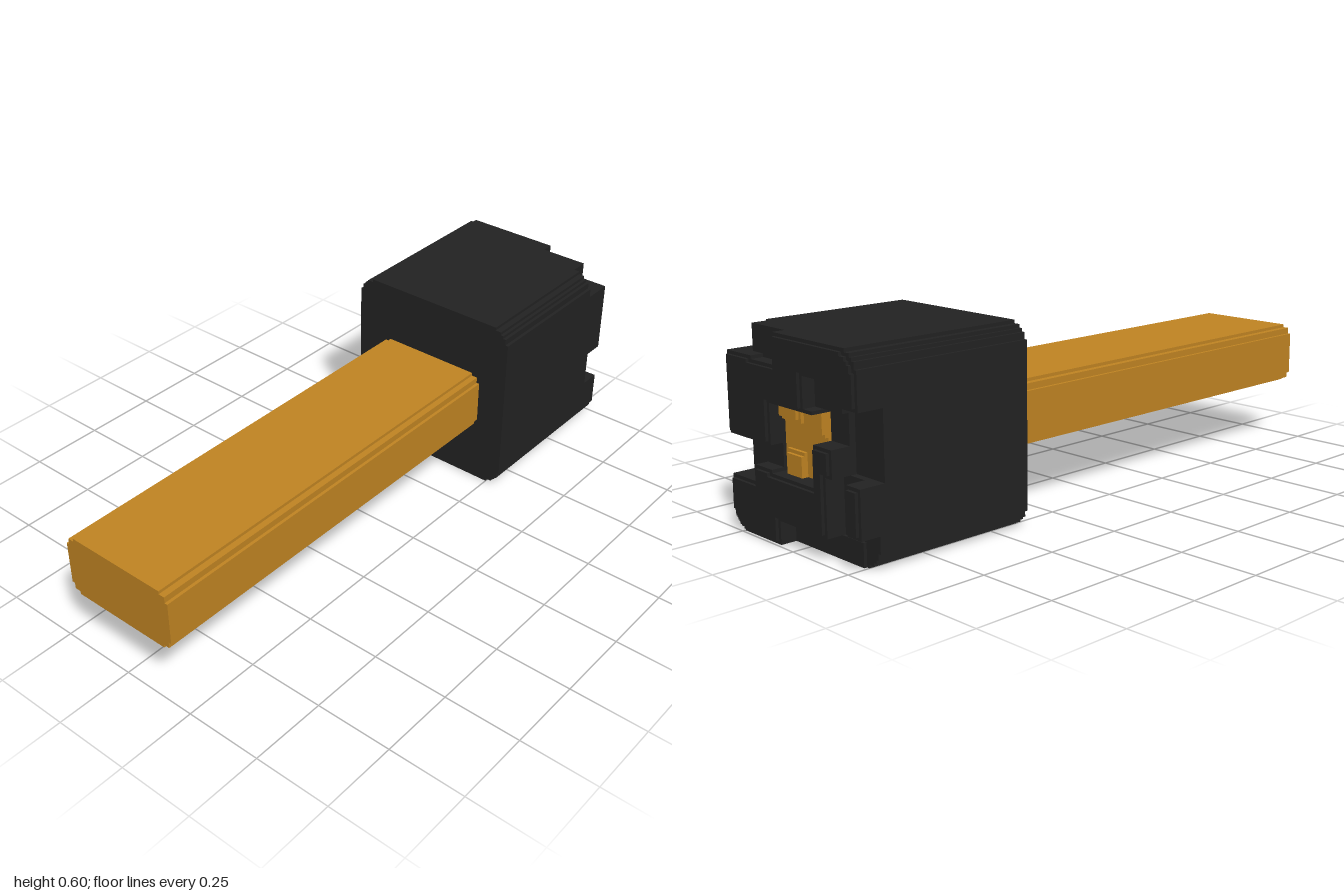
import * as THREE from 'three';

const iron = new THREE.MeshStandardMaterial({ color: 0x222222 });
iron.name = 'black iron';
const wood = new THREE.MeshStandardMaterial({ color: 0xbf8322 });
wood.name = 'golden wood';

// Stepped roundings as nested rectangles: [half depth, half height], in hundredths
const HEAD_STEPS = [[30, 25], [29, 27], [28, 28], [27, 29], [25, 30]];
const HANDLE_STEPS = [[20, 7], [19, 9], [17, 10]];

// Recesses in the striking face: [z0, z1, y0, y1, floor x], in hundredths
const RECESSES = [
  [23, 31, 52, 61, 89], [18, 24, 52, 61, 95], [7, 18, 51, 61, 95],      // upper front corner
  [18, 31, 16, 28, 92], [9, 20, 21, 28, 95],                            // front channel
  [-18, -6, 41, 50, 95], [-18, -10, 32, 41, 93],                        // upper rear pocket
  [-31, -18, 24, 44, 91],                                               // rear notch
  [-24, -15, 7, 24, 93], [-31, -24, -1, 10, 93], [-24, 7, -1, 7, 94],   // lower rear channel
  [-10, 10, 20, 40, 90],                                                // socket of the core
];

function faceHeight(z, y) {
  const inside = (inset) => HEAD_STEPS.some(([hz, hy]) =>
    Math.abs(z) < hz - inset && Math.abs(y - 30) < hy - inset);
  if (!inside(0)) return 40;
  let h = inside(1) ? 100 : 99;
  for (const [z0, z1, y0, y1, floor] of RECESSES) {
    if (z > z0 && z < z1 && y > y0 && y < y1) h = Math.min(h, floor);
    else if (z > z0 - 1 && z < z1 + 1 && y > y0 - 1 && y < y1 + 1) h = Math.min(h, 99); // stepped rim
  }
  return h;
}

// Grid lines wherever a step or recess edge falls
function gridLines(values, min, max) {
  return [...new Set(values)].filter((v) => v >= min && v <= max).sort((a, b) => a - b);
}

function headGeometry() {
  const zs = [], ys = [];
  for (const [hz, hy] of HEAD_STEPS) {
    zs.push(-hz, 1 - hz, hz - 1, hz);
    ys.push(30 - hy, 31 - hy, 29 + hy, 30 + hy);
  }
  for (const [z0, z1, y0, y1] of RECESSES) {
    zs.push(z0 - 1, z0, z1, z1 + 1);
    ys.push(y0 - 1, y0, y1, y1 + 1);
  }
  const Z = gridLines(zs, -30, 30), Y = gridLines(ys, 0, 60);
  const height = (i, j) => (i < 0 || j < 0 || i >= Z.length - 1 || j >= Y.length - 1)
    ? 40 : faceHeight((Z[i] + Z[i + 1]) / 2, (Y[j] + Y[j + 1]) / 2);

  const pos = [];
  const quad = (a, b, c, d, flip) => {
    const order = flip ? [a, c, b, a, d, c] : [a, b, c, a, c, d];
    for (const p of order) pos.push(p[0] / 100, p[1] / 100, p[2] / 100);
  };

  for (let i = 0; i < Z.length; i++) {
    for (let j = 0; j < Y.length; j++) {
      const h = height(i, j), z0 = Z[i], z1 = Z[i + 1], y0 = Y[j], y1 = Y[j + 1];
      // striking face and rear cap
      if (h > 40) {
        for (const [x, flip] of [[h, false], [40, true]]) {
          quad([x, y0, z0], [x, y1, z0], [x, y1, z1], [x, y0, z1], flip);
        }
      }
      // walls against the cell below and the cell behind
      const below = height(i, j - 1), behind = height(i - 1, j);
      if (below !== h) {
        const lo = Math.min(h, below), hi = Math.max(h, below);
        quad([lo, y0, z0], [lo, y0, z1], [hi, y0, z1], [hi, y0, z0], h > below);
      }
      if (behind !== h) {
        const lo = Math.min(h, behind), hi = Math.max(h, behind);
        quad([lo, y0, z0], [hi, y0, z0], [hi, y1, z0], [lo, y1, z0], h > behind);
      }
    }
  }
  const geo = new THREE.BufferGeometry();
  geo.setAttribute('position', new THREE.Float32BufferAttribute(pos, 3));
  geo.computeVertexNormals();
  return geo;
}

function handleGeometry() {
  // one stepped corner, mirrored round the section
  const corner = [];
  HANDLE_STEPS.forEach(([hz, hy], k) => {
    if (k) corner.push([hz, HANDLE_STEPS[k - 1][1]]);
    corner.push([hz, hy]);
  });
  const back = [...corner].reverse();
  const outline = [
    ...corner,
    ...back.map(([a, b]) => [-a, b]),
    ...corner.map(([a, b]) => [-a, -b]),
    ...back.map(([a, b]) => [a, -b]),
  ].map(([a, b]) => new THREE.Vector2(a / 100, b / 100));
  const geo = new THREE.ExtrudeGeometry(new THREE.Shape(outline), { depth: 1.4, bevelEnabled: false });
  return geo.rotateY(Math.PI / 2).translate(-1, 0.3, 0);
}

export function createModel() {
  const model = new THREE.Group();
  model.name = 'hammer';
  const add = (name, geo, mat, parent = model) => {
    const mesh = new THREE.Mesh(geo, mat);
    mesh.name = name;
    parent.add(mesh);
    return mesh;
  };

  add('head', headGeometry(), iron);
  add('handle', handleGeometry(), wood);

  // End of the handle showing in the socket, with low raised steps
  const core = new THREE.Group();
  core.name = 'handleCore';
  model.add(core);
  const block = (name, z0, z1, y0, y1, x0, x1) =>
    add(name, new THREE.BoxGeometry((x1 - x0) / 100, (y1 - y0) / 100, (z1 - z0) / 100)
      .translate((x0 + x1) / 200, (y0 + y1) / 200, (z0 + z1) / 200), wood, core);
  block('coreBase', -10, 10, 20, 40, 88, 94);
  block('lowerStep', 0, 8, 20, 27, 94, 95);
  block('lowerStepTop', 0, 7, 20, 26, 95, 96);
  block('upperFrontStep', 1, 10, 35, 40, 94, 95);
  block('upperFrontStepTop', 2, 10, 36, 40, 95, 96);
  block('upperRearStep', -10, -3, 33, 40, 94, 95);
  block('upperRearStepTop', -10, -4, 34, 40, 95, 96);

  return model;
}
